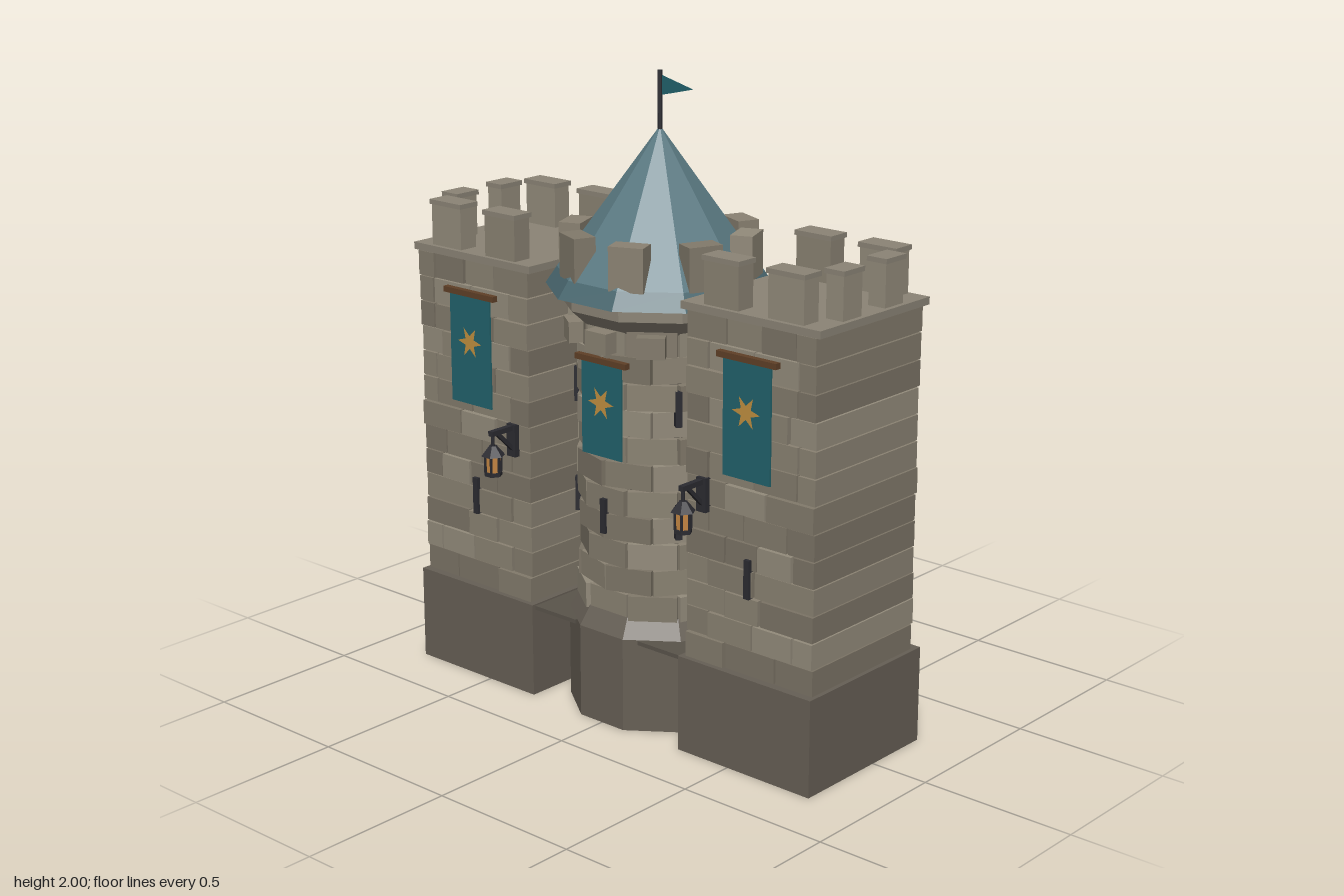
import * as THREE from 'three';

const mat = (color, side = THREE.FrontSide) =>
  new THREE.MeshStandardMaterial({ color, side, flatShading: true });

export function createModel() {
  const root = new THREE.Group();
  root.name = 'castleGate';
  const stones = [0x8a8272, 0x827a6b, 0x938b7b, 0x7b7365].map(c => mat(c));
  const trim = mat(0x8b8476), plinth = mat(0x665f55), dark = mat(0x5a544b);
  const roof = mat(0x5b7a83), eaveMat = mat(0x4a6870), wood = mat(0x7d5631), woodDark = mat(0x5f4027);
  const iron = mat(0x2b2b31), glow = mat(0xc98a45), gold = mat(0xc08f3f, THREE.DoubleSide);
  const cloth = mat(0x22626b, THREE.DoubleSide);
  const CZ = 0.045; // tower axis

  let seed = 7;
  const rnd = () => (seed = (seed * 16807) % 2147483647) / 2147483647;
  const pick = () => stones[Math.floor(rnd() * stones.length)];

  const add = (parent, name, geo, m, x = 0, y = 0, z = 0) => {
    const mesh = new THREE.Mesh(geo, m);
    mesh.name = name;
    mesh.position.set(x, y, z);
    parent.add(mesh);
    return mesh;
  };
  // Box given by its bounds
  const box = (parent, name, m, x0, x1, y0, y1, z0, z1) =>
    add(parent, name, new THREE.BoxGeometry(x1 - x0, y1 - y0, z1 - z0), m, (x0 + x1) / 2, (y0 + y1) / 2, (z0 + z1) / 2);
  const group = (parent, name, x = 0, y = 0, z = 0, ry = 0) => {
    const g = new THREE.Group();
    g.name = name;
    g.position.set(x, y, z);
    g.rotation.y = ry;
    parent.add(g);
    return g;
  };
  // Ten-sided frustum with corners on the x axis
  const deca = (parent, name, m, rTop, rBot, y0, y1) =>
    add(parent, name, new THREE.CylinderGeometry(rTop, rBot, y1 - y0, 10).rotateY(Math.PI / 10), m, 0, (y0 + y1) / 2, 0);

  // Hanging lantern on a bracket that reaches out along +z from a wall
  const lantern = (x, z, ry) => {
    const g = group(root, 'lantern', x, 0, z, ry);
    box(g, 'bracketPlate', iron, -0.018, 0.018, 0.78, 0.885, -0.01, 0.012);
    box(g, 'bracketArm', iron, -0.009, 0.009, 0.866, 0.882, 0, 0.1);
    const brace = add(g, 'bracketBrace', new THREE.BoxGeometry(0.012, 0.012, 0.1), iron, 0, 0.835, 0.037);
    brace.rotation.x = -Math.PI / 4;
    const cyl = (name, m, rt, rb, y0, y1, n = 6) =>
      add(g, name, new THREE.CylinderGeometry(rt, rb, y1 - y0, n).rotateY(Math.PI / 6), m, 0, (y0 + y1) / 2, 0.09);
    cyl('hanger', iron, 0.006, 0.006, 0.83, 0.87);
    cyl('lanternCap', iron, 0.012, 0.038, 0.803, 0.835);
    cyl('lanternGlass', glow, 0.024, 0.021, 0.75, 0.803);
    cyl('lanternFoot', iron, 0.028, 0.028, 0.738, 0.75);
    for (let i = 0; i < 6; i++) {
      const a = i * Math.PI / 3;
      add(g, 'lanternBar', new THREE.BoxGeometry(0.006, 0.055, 0.006), iron,
        0.025 * Math.cos(a), 0.777, 0.09 + 0.025 * Math.sin(a));
    }
  };

  // Cloth banner with a rod and a star
  const banner = (x, top, w, h, z) => {
    const g = group(root, 'banner', x, top, z);
    box(g, 'bannerRod', woodDark, -w / 2 - 0.022, w / 2 + 0.022, 0, 0.018, -0.012, 0.008);
    box(g, 'bannerCloth', cloth, -w / 2, w / 2, -h, 0.004, -0.004, 0.002);
    const s = new THREE.Shape();
    for (let i = 0; i < 12; i++) {
      const a = i * Math.PI / 6, r = i % 2 ? 0.021 : 0.052;
      s[i ? 'lineTo' : 'moveTo'](r * Math.cos(a), r * Math.sin(a));
    }
    add(g, 'bannerStar', new THREE.ShapeGeometry(s), gold, 0, -0.42 * h, 0.005);
  };

  for (const s of [-1, 1]) {
    const block = group(root, s < 0 ? 'rightBastion' : 'leftBastion');
    const side = (name, m, x0, x1, ...r) => box(block, name, m, Math.min(s * x0, s * x1), Math.max(s * x0, s * x1), ...r);
    side('bastionPlinth', plinth, 0.305, 0.808, 0, 0.305, -0.225, 0.31);

    // Courses of through-stones
    seed = 41;
    const rows = 13, y0 = 0.305, rh = (1.377 - y0) / rows;
    for (let r = 0; r < rows; r++) {
      let x = 0.32;
      let first = r % 2 ? 0.085 : 0.15;
      while (x < 0.799) {
        let w = first || 0.12 + rnd() * 0.07;
        first = 0;
        if (0.8 - x - w < 0.06) w = 0.8 - x;
        const j = rnd() * 0.01;
        side('wallStone', pick(), x + 0.003, x + w - 0.003, y0 + r * rh + 0.002, y0 + (r + 1) * rh - 0.002, -0.2 + j, 0.297 - j);
        x += w;
      }
    }
    side('parapetSlab', trim, 0.305, 0.813, 1.377, 1.4, -0.21, 0.3);

    // Merlons with thin caps: [x0, x1, z0, z1]
    for (const [a, b, c, d] of [
      [0.615, 0.743, -0.2, -0.135], [0.38, 0.508, -0.2, -0.135],
      [0.615, 0.743, 0.22, 0.285], [0.38, 0.508, 0.22, 0.285],
      [0.738, 0.798, -0.1, -0.015], [0.738, 0.798, 0.095, 0.18]]) {
      side('merlon', stones[(a * 100 + 1 | 0) % 3], a, b, 1.4, 1.532, c, d);
      side('merlonCap', trim, a - 0.005, b + 0.005, 1.53, 1.545, c - 0.005, d + 0.005);
    }

    side('arrowSlit', iron, 0.55, 0.57, 0.55, 0.67, 0.28, 0.303);
    banner(s * 0.56, 1.265, 0.175, 0.35, 0.306);
    lantern(s * 0.39, 0.295, 0);
    lantern(s * 0.39, -0.2, Math.PI);
    side('threshold', dark, 0.13, 0.315, 0.287, 0.3, -0.04, 0.297);

    // Open gate leaf: planks, with iron bands on the inner face
    const leaf = group(root, 'gateLeaf');
    const part = (name, m, xa, xb, ...r) => box(leaf, name, m, Math.min(s * xa, s * xb), Math.max(s * xa, s * xb), ...r);
    part('gateBacking', wood, 0.297, 0.311, 0.315, 0.875, -0.413, -0.195);
    for (let i = 0; i < 4; i++)
      part('gatePlank', wood, 0.288, 0.298, 0.318, 0.872, -0.412 + i * 0.0545, -0.362 + i * 0.0545);
    for (const y of [0.39, 0.77]) part('gateBand', iron, 0.281, 0.29, y, y + 0.025, -0.41, -0.198);
  }

  // Arch panel joining the tower and the bastions
  const arch = new THREE.Shape();
  arch.moveTo(-0.325, 0.87).lineTo(-0.325, 1.27).lineTo(0.325, 1.27).lineTo(0.325, 0.87).lineTo(0.31, 0.87);
  arch.absellipse(0, 0.87, 0.31, 0.16, 0, Math.PI, false);
  add(root, 'archPanel', new THREE.ExtrudeGeometry(arch, { depth: 0.06, bevelEnabled: false, curveSegments: 24 }), trim, 0, 0, CZ - 0.03);

  // Round tower
  const tower = group(root, 'tower', 0, 0, CZ);
  deca(tower, 'towerPlinth', plinth, 0.288, 0.288, 0, 0.3);
  deca(tower, 'plinthSlope', plinth, 0.252, 0.288, 0.3, 0.36);
  deca(tower, 'towerCore', dark, 0.235, 0.235, 0.34, 1.3);
  const n = 11, th = (1.27 - 0.35) / n;
  seed = 99;
  for (let r = 0; r < n; r++)
    for (let i = 0; i < 10; i++) {
      const a = (i + (r % 2) / 2) * Math.PI / 5, ap = 0.24 + rnd() * 0.012;
      const st = add(tower, 'towerStone', new THREE.BoxGeometry(0.15, th - 0.004, 0.07), pick(),
        Math.sin(a) * (ap - 0.035), 0.35 + (r + 0.5) * th, Math.cos(a) * (ap - 0.035));
      st.rotation.y = a;
    }
  for (let i = 0; i < 10; i++) {
    const a = i * Math.PI / 5;
    const c = add(tower, 'corbel', new THREE.BoxGeometry(0.085, 0.065, 0.07), stones[i % 3], Math.sin(a) * 0.255, 1.225, Math.cos(a) * 0.255);
    c.rotation.y = a;
  }
  deca(tower, 'collarSlope', trim, 0.305, 0.25, 1.255, 1.305);
  deca(tower, 'collar', trim, 0.305, 0.305, 1.305, 1.352);
  deca(tower, 'roofEave', eaveMat, 0.315, 0.35, 1.347, 1.4);
  deca(tower, 'roofCone', roof, 0, 0.315, 1.4, 1.835);
  for (let i = 0; i < 8; i++) {
    const a = (i + 0.5) * Math.PI / 4;
    const m = add(tower, 'towerMerlon', new THREE.BoxGeometry(0.108, 0.135, 0.07), stones[i % 3], Math.sin(a) * 0.272, 1.463, Math.cos(a) * 0.272);
    m.rotation.y = a;
  }

  // Tower arrow slits: [angle from the front, centre height]
  for (const [a, y] of [[0, 0.675], [0.94, 0.675], [-0.94, 0.675], [0.94, 1.03], [-0.94, 1.03]]) {
    const m = add(tower, 'towerSlit', new THREE.BoxGeometry(0.02, 0.11, 0.03), iron, Math.sin(a) * 0.25, y, Math.cos(a) * 0.25);
    m.rotation.y = a;
  }
  banner(0, 1.155, 0.16, 0.29, 0.308);

  // Small back door
  const door = group(root, 'backDoor', 0, 0.33, CZ - 0.25, Math.PI);
  box(door, 'doorFrame', woodDark, -0.085, 0.085, 0, 0.3, -0.03, 0.01);
  for (let i = 0; i < 4; i++)
    box(door, 'doorPlank', wood, -0.07 + i * 0.036, -0.038 + i * 0.036, 0.005, 0.28, 0, 0.018);
  for (const y of [0.05, 0.21]) box(door, 'doorBand', iron, -0.07, 0.07, y, y + 0.02, 0.012, 0.024);
  lantern(0.16, -0.19, Math.PI);

  // Flag
  add(tower, 'flagPole', new THREE.CylinderGeometry(0.008, 0.008, 0.2, 6), iron, 0, 1.9, 0);
  const pennant = new THREE.Shape();
  pennant.moveTo(0, 1.925).lineTo(0.13, 1.956).lineTo(0, 1.988);
  add(tower, 'flag', new THREE.ShapeGeometry(pennant), cloth);
  return root;
}
